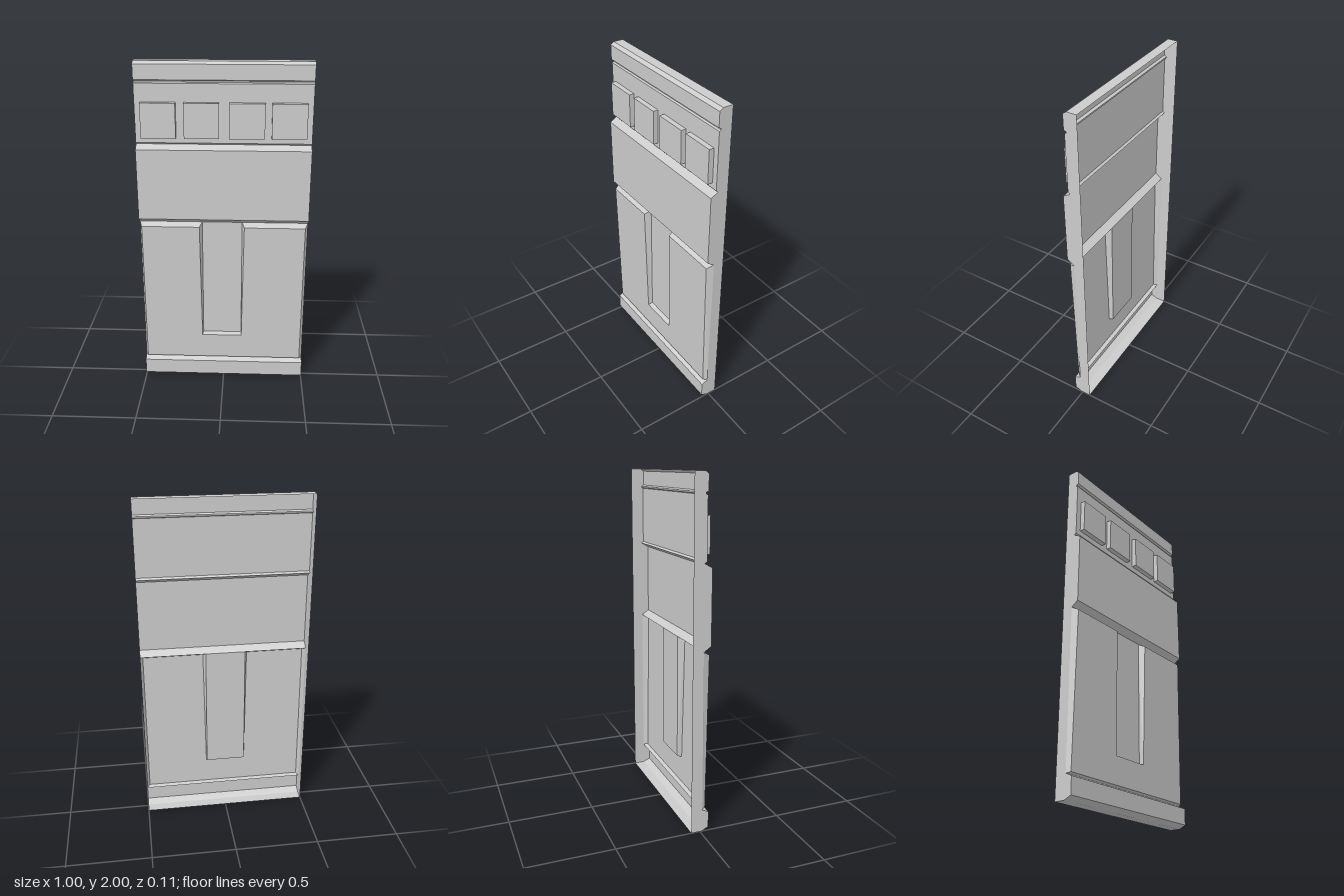
import * as THREE from 'three';

const material = new THREE.MeshStandardMaterial({ color: 0xcccccc, flatShading: true, side: THREE.DoubleSide });
const HALF = 0.5, BACK = -0.053, BASE = 0.01;

// Front profile as [z, y], in bands that run the full width
const lowerBands = [[BACK, 0], [BASE, 0], [0.052, 0.02], [0.052, 0.115], [0.013, 0.133]];
const upperBands = [
  [BASE, 1.06], [0.053, 1.09], [0.053, 1.51], [BASE, 1.535], [0.022, 1.545], [0.022, 1.88],
  [0.012, 1.885], [0.012, 1.893], [0.026, 1.9], [0.026, 1.985], [0.006, 2], [BACK, 2],
];

// Outlines of the U-shaped lower panel: at its foot and at its raised face
const foot = [[-0.5, 0.133], [0.5, 0.133], [0.5, 1.06], [0.11, 1.06], [0.11, 0.31], [-0.127, 0.31], [-0.127, 1.06], [-0.5, 1.06]];
const face = [[-0.486, 0.14], [0.483, 0.14], [0.483, 1.04], [0.124, 1.04], [0.112, 0.3], [-0.132, 0.3], [-0.143, 1.04], [-0.486, 1.04]];
const faceDepth = (y) => 0.035 + ((y - 0.14) / 0.9) * 0.014;

function quads(list) {
  const pos = [];
  for (const [a, b, c, d] of list) pos.push(...a, ...b, ...c, ...a, ...c, ...d);
  const g = new THREE.BufferGeometry();
  g.setAttribute('position', new THREE.Float32BufferAttribute(pos, 3));
  g.computeVertexNormals();
  return g;
}

function strip(profile) {
  return quads(profile.slice(1).map(([z, y], i) => {
    const [z0, y0] = profile[i];
    return [[-HALF, y0, z0], [HALF, y0, z0], [HALF, y, z], [-HALF, y, z]];
  }));
}

const flat = (points) => new THREE.ShapeGeometry(new THREE.Shape(points.map((p) => new THREE.Vector2(...p))));

export function createModel() {
  const group = new THREE.Group();
  const add = (name, geometry) => {
    const mesh = new THREE.Mesh(geometry, material);
    mesh.name = name;
    group.add(mesh);
    return mesh;
  };

  // Shaped front with closed top and bottom, open at the back
  add('plinth', strip(lowerBands));
  add('upperFront', strip(upperBands));

  // Side walls follow the profile
  for (const side of [-1, 1]) {
    const wall = flat([...lowerBands, ...upperBands]).rotateY(-Math.PI / 2);
    if (side > 0) {
      const idx = wall.index.array;
      for (let i = 0; i < idx.length; i += 3) [idx[i], idx[i + 1]] = [idx[i + 1], idx[i]];
      wall.computeVertexNormals();
    }
    add(side < 0 ? 'rightWall' : 'leftWall', wall).position.x = side * HALF;
  }

  // Raised lower panel, leaning slightly forward towards its top
  const panel = flat(face);
  const p = panel.attributes.position;
  for (let i = 0; i < p.count; i++) p.setZ(i, faceDepth(p.getY(i)));
  panel.computeVertexNormals();
  add('lowerPanel', panel);

  // Bevels around the panel and the slot
  add('panelBevels', quads(foot.map((a, i) => {
    const j = (i + 1) % foot.length;
    return [
      [...a, BASE], [...foot[j], BASE],
      [...face[j], faceDepth(face[j][1])], [...face[i], faceDepth(face[i][1])],
    ];
  })));

  // Floor of the slot
  add('slotFloor', flat([[-0.127, 0.31], [0.11, 0.31], [0.11, 1.06], [-0.127, 1.06]])).position.z = BASE;

  // Row of raised tiles
  for (const [x0, x1] of [[-0.466, -0.268], [-0.222, -0.025], [0.033, 0.233], [0.271, 0.468]]) {
    add('tile', new THREE.BoxGeometry(x1 - x0, 0.2, 0.03)).position.set((x0 + x1) / 2, 1.677, 0.038);
  }
  return group;
}
